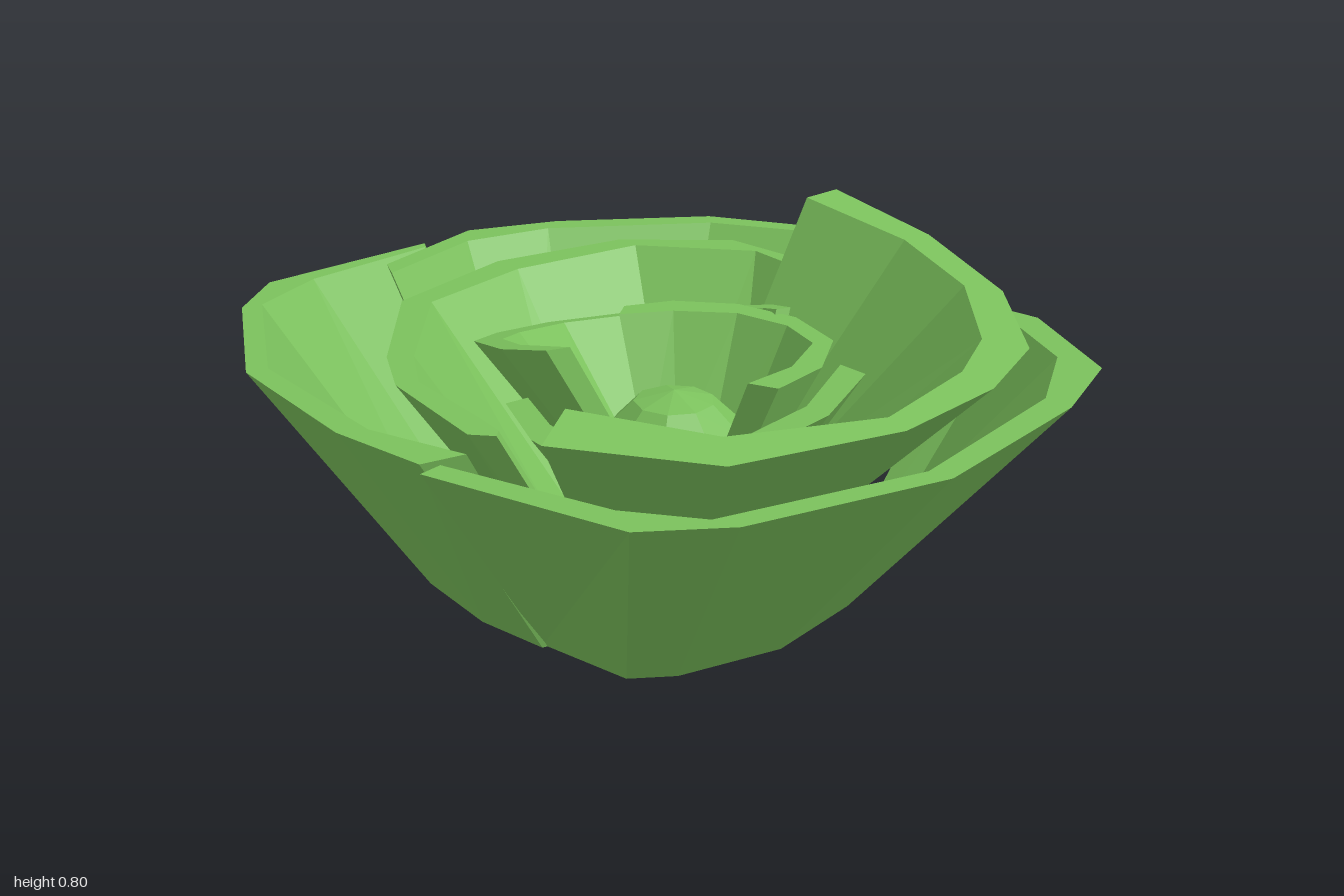
import * as THREE from 'three';

const material = new THREE.MeshStandardMaterial({ color: 0x7bc15c, flatShading: true });

// A curved, thick petal wall. Each station is [outerX, outerZ, innerX, innerZ] on the rim;
// the foot is the rim shrunk by `scale` and shifted, unless the station adds its own [footX, footZ].
function petal(name, stations, { top, bottom, scale, dx = 0, dz = 0 }) {
  const sections = stations.map(([ox, oz, ix, iz, fx = ox * scale + dx, fz = oz * scale + dz]) => {
    const gx = fx + (ix - ox) * 0.85, gz = fz + (iz - oz) * 0.85;
    return [
      [ox, top(ox, oz), oz],
      [fx, bottom(fx, fz), fz],
      [gx, bottom(gx, gz), gz],
      [ix, top(ix, iz), iz],
    ];
  });
  const pos = [];
  const quad = (a, b, c, d) => [a, b, c, a, c, d].forEach(p => pos.push(...p));
  for (let i = 0; i < sections.length - 1; i++) {
    const s = sections[i], t = sections[i + 1];
    for (let k = 0; k < 4; k++) {
      const n = (k + 1) % 4;
      quad(s[k], t[k], t[n], s[n]);
    }
  }
  quad(...sections[0]);
  quad(...sections[sections.length - 1].slice().reverse());
  const geometry = new THREE.BufferGeometry();
  geometry.setAttribute('position', new THREE.Float32BufferAttribute(pos, 3));
  geometry.computeVertexNormals();
  const mesh = new THREE.Mesh(geometry, material);
  mesh.name = name;
  return mesh;
}

export function createModel() {
  const group = new THREE.Group();
  group.name = 'succulentRosette';

  // Three level outer petals
  const outer = { top: () => 0.635, bottom: () => 0.03, scale: 0.555, dx: -0.045, dz: -0.05 };
  group.add(petal('outerPetalLeftBack', [
    [-0.91, 0.25, -0.81, 0.27, -0.54, 0.14], [-0.95, 0, -0.89, 0.03],
    [-0.92, -0.43, -0.87, -0.42], [-0.71, -0.83, -0.66, -0.82],
    [-0.56, -0.96, -0.46, -0.91], [-0.07, -0.98, -0.09, -0.95],
  ], outer));
  group.add(petal('outerPetalRightBack', [
    [-0.25, -0.89, -0.28, -0.82], [0.09, -1, 0.03, -0.92], [0.33, -0.91, 0.27, -0.87],
    [0.69, -0.66, 0.65, -0.61], [0.92, -0.26, 0.88, -0.23],
    [0.945, -0.07, 0.85, -0.03], [0.7, 0.35, 0.63, 0.28, 0.45, 0.14],
  ], outer));
  group.add(petal('outerPetalFront', [
    [0.7, 0.43, 0.58, 0.4, 0.38, 0.32], [0.71, 0.51, 0.64, 0.49, 0.385, 0.36],
    [0.55, 0.82, 0.53, 0.71], [0.31, 0.92, 0.31, 0.85], [-0.16, 0.995, -0.17, 0.94],
    [-0.62, 0.88, -0.64, 0.82], [-0.79, 0.76, -0.75, 0.67],
    [-0.935, 0.29, -0.88, 0.28, -0.53, 0.13],
  ], outer));

  // Two tilted middle petals
  group.add(petal('middlePetalFront', [
    [0.72, -0.19, 0.61, -0.19], [0.72, 0.14, 0.64, 0.13], [0.63, 0.46, 0.57, 0.39],
    [0.45, 0.69, 0.39, 0.6], [0.23, 0.77, 0.23, 0.68], [-0.07, 0.79, -0.06, 0.73],
    [-0.48, 0.69, -0.41, 0.6], [-0.74, 0.43, -0.61, 0.34],
  ], {
    top: (x, z) => 0.765 - 0.15 * z + 0.02 * x, bottom: (x, z) => 0.25 - 0.15 * z,
    scale: 0.55, dz: -0.08,
  }));
  group.add(petal('middlePetalBack', [
    [-0.65, 0.15, -0.63, 0.13], [-0.69, 0.1, -0.62, 0.05], [-0.65, -0.24, -0.6, -0.22],
    [-0.57, -0.4, -0.52, -0.36], [-0.33, -0.7, -0.28, -0.64], [0.03, -0.78, 0.03, -0.69],
    [0.38, -0.69, 0.38, -0.62], [0.6, -0.46, 0.58, -0.35], [0.63, -0.05, 0.56, -0.1],
  ], {
    top: x => 0.61 + 0.03 * x, bottom: (x, z) => 0.053 + 0.13 * x - 0.1 * z,
    scale: 0.47, dz: 0.03,
  }));

  // Inner petals
  group.add(petal('innerPetalFront', [
    [0.19, 0.43, 0.19, 0.35], [0, 0.5, 0, 0.43], [-0.2, 0.49, -0.16, 0.42],
    [-0.39, 0.37, -0.34, 0.31], [-0.49, 0.2, -0.42, 0.18], [-0.48, 0.04, -0.41, 0.02],
    [-0.41, -0.15, -0.36, -0.13],
  ], { top: x => 0.57 + 0.15 * x, bottom: x => 0.17 + 0.15 * x, scale: 0.45 }));
  group.add(petal('innerPetalBack', [
    [-0.4, 0, -0.34, 0.01], [-0.41, -0.16, -0.34, -0.18], [-0.32, -0.4, -0.27, -0.35],
    [-0.18, -0.5, -0.16, -0.43], [0.02, -0.55, 0.02, -0.48], [0.22, -0.49, 0.17, -0.43],
    [0.36, -0.37, 0.32, -0.25], [0.44, -0.14, 0.37, -0.1], [0.39, -0.02, 0.35, -0.03],
  ], {
    top: (x, z) => 0.64 - 0.1 * x + 0.25 * z, bottom: (x, z) => 0.27 - 0.1 * x + 0.25 * z,
    scale: 0.53, dz: 0.06,
  }));
  group.add(petal('innermostPetal', [
    [0.1, -0.33, 0.05, -0.29], [0.22, -0.28, 0.17, -0.22], [0.33, -0.15, 0.28, -0.1],
    [0.37, 0.02, 0.31, 0.05], [0.32, 0.2, 0.27, 0.18], [0.17, 0.31, 0.12, 0.26],
    [0, 0.34, -0.03, 0.27],
  ], { top: () => 0.585, bottom: () => 0.25, scale: 0.52 }));

  // Rounded bud at the heart
  const bud = new THREE.Mesh(new THREE.SphereGeometry(0.2, 9, 6), material);
  bud.name = 'bud';
  bud.position.set(-0.01, 0.28, -0.01);
  group.add(bud);

  return group;
}
